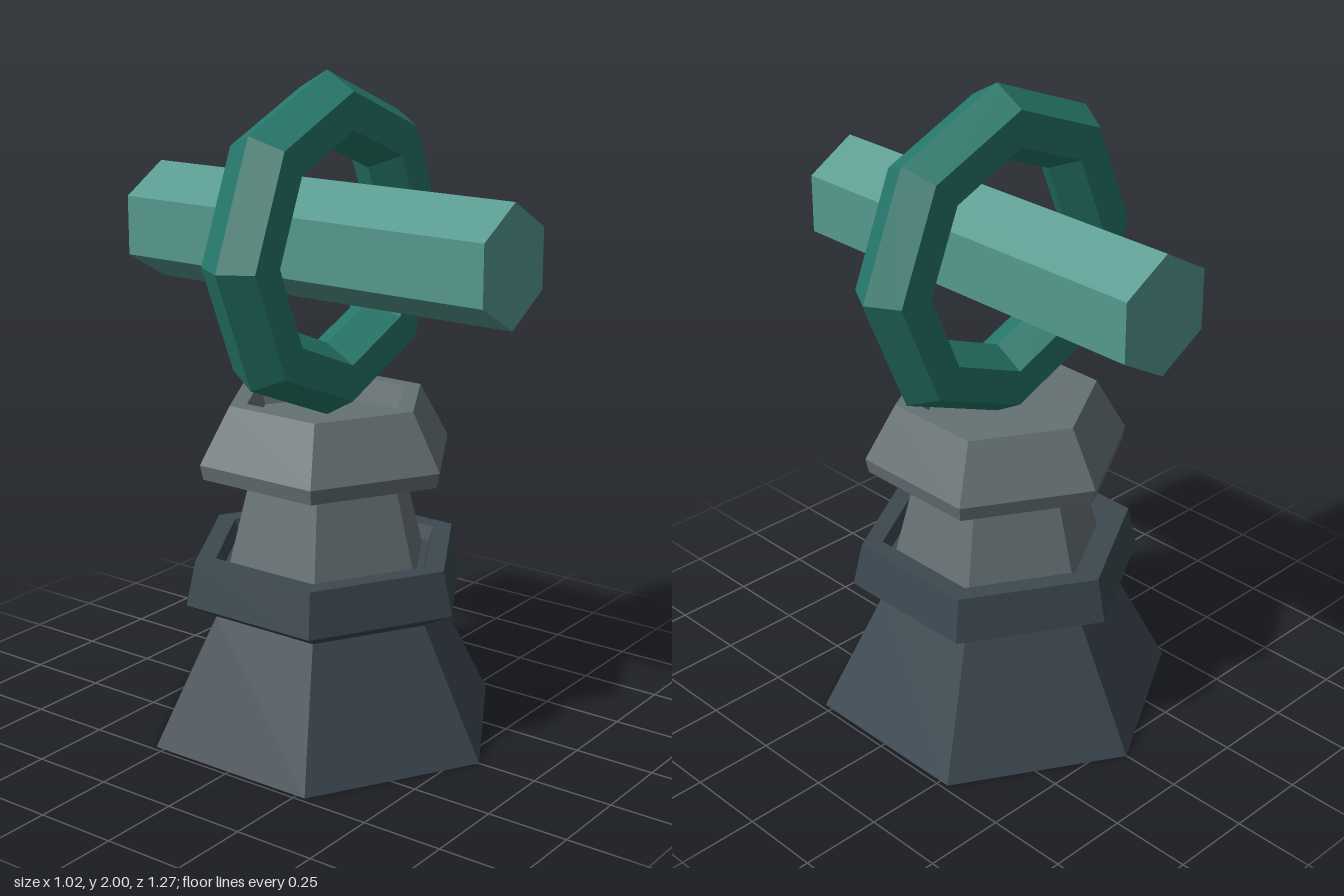
import * as THREE from 'three';

const material = (name, color) => {
  const m = new THREE.MeshStandardMaterial({ color, flatShading: true });
  m.name = name;
  return m;
};

export function createModel() {
  const group = new THREE.Group();
  const slate = material('dark slate', 0x3c4850);
  const grey = material('stone grey', 0x667174);
  const teal = material('deep teal', 0x26776a);
  const paleTeal = material('pale teal', 0x56998f);

  const add = (name, geometry, mat) => {
    const mesh = new THREE.Mesh(geometry, mat);
    mesh.name = name;
    group.add(mesh);
    return mesh;
  };
  // Six-sided turned solid from [radius, height] pairs, bottom to top
  const hexLathe = (profile) =>
    new THREE.LatheGeometry(profile.map(([r, y]) => new THREE.Vector2(r, y)), 6);

  // Flared foot with a collar and a shallow recess around the neck
  add('base', hexLathe([
    [0, 0], [0.56, 0], [0.36, 0.39], [0.455, 0.44], [0.425, 0.575],
    [0.36, 0.575], [0.345, 0.53], [0, 0.53],
  ]), slate);

  // Tapered neck carrying a dished cap
  add('neckAndCap', hexLathe([
    [0.322, 0.53], [0.245, 0.825], [0.395, 0.825], [0.405, 0.87], [0.31, 1.04],
    [0.255, 1.04], [0.235, 0.97], [0, 0.97],
  ]), grey);

  // Eight-sided ring with a hexagonal section
  add('ring', new THREE.TorusGeometry(0.4, 0.11, 6, 8), teal).position.y = 1.49;

  // Hexagonal bar running front to back through the ring
  const bar = add('bar', new THREE.CylinderGeometry(0.18, 0.18, 1.27, 6), paleTeal);
  bar.rotation.x = Math.PI / 2;
  bar.position.y = 1.505;

  return group;
}
